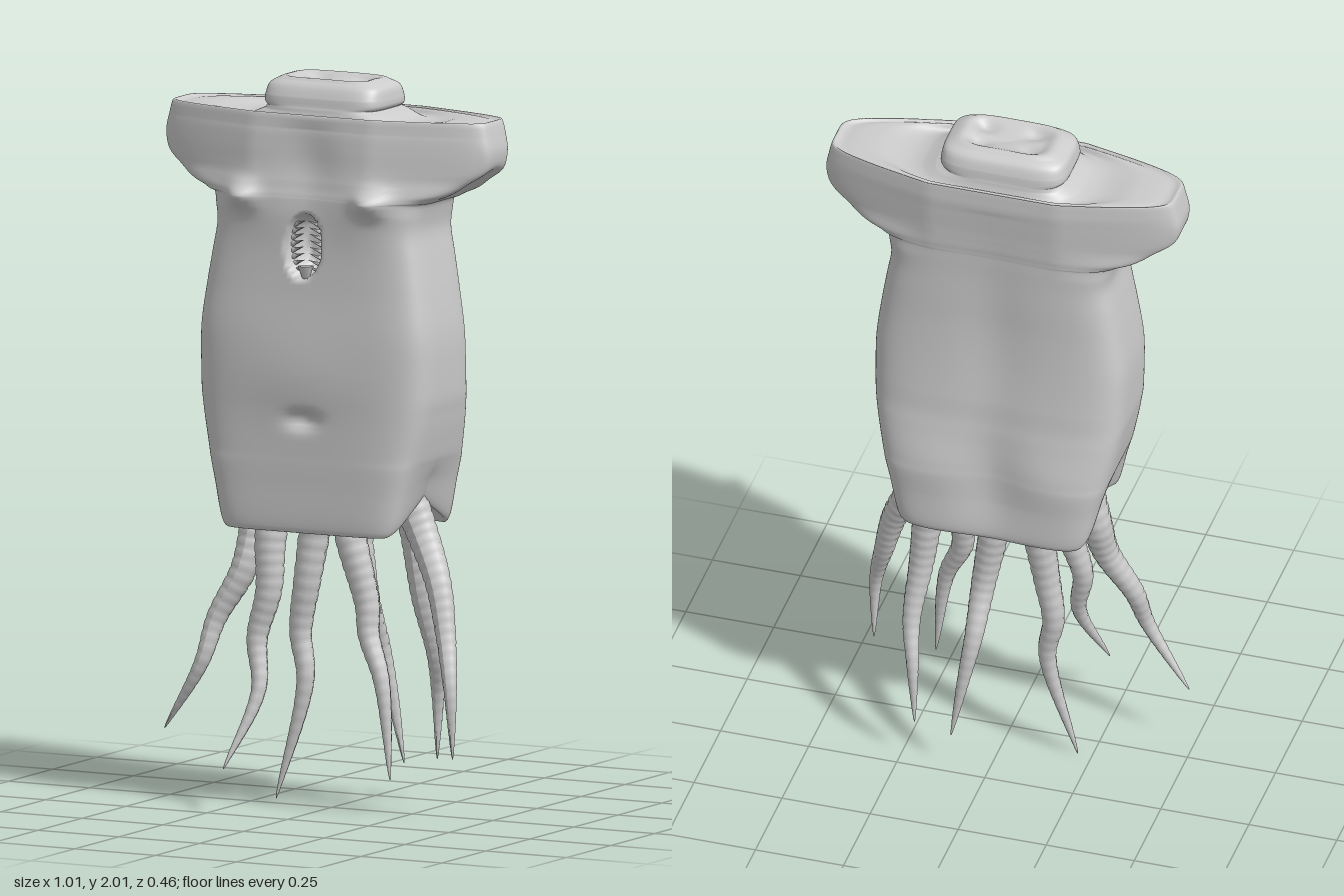
import * as THREE from 'three';

const grey = new THREE.MeshStandardMaterial({ color: 0xcccccc, roughness: 0.8 });
const { smoothstep, clamp } = THREE.MathUtils;
const bump = (dx, dy, rx, ry) => Math.exp(-((dx / rx) ** 2) - (dy / ry) ** 2);

// Torso cross-sections from below to top: y, half width, front z, back z, squareness
const rings = [
  [0.84, 0, -0.025, -0.025, 3], [0.83, 0.20, 0.11, -0.16, 5], [0.785, 0.255, 0.16, -0.205, 7],
  [0.775, 0.265, 0.165, -0.213, 7], [0.79, 0.275, 0.17, -0.22, 7], [0.90, 0.30, 0.17, -0.217, 7],
  [1.00, 0.325, 0.168, -0.212, 6], [1.10, 0.345, 0.165, -0.20, 5.5], [1.20, 0.355, 0.165, -0.19, 5],
  [1.32, 0.355, 0.162, -0.18, 5], [1.44, 0.34, 0.152, -0.175, 5], [1.53, 0.325, 0.146, -0.175, 5],
  [1.61, 0.312, 0.143, -0.175, 5], [1.66, 0.318, 0.142, -0.176, 5], [1.695, 0.35, 0.141, -0.177, 5.5],
  [1.735, 0.44, 0.137, -0.18, 6], [1.77, 0.488, 0.133, -0.182, 6], [1.83, 0.503, 0.128, -0.187, 6],
  [1.88, 0.495, 0.12, -0.19, 6], [1.91, 0.455, 0.105, -0.183, 5], [1.912, 0.37, 0.10, -0.172, 4.5],
  [1.902, 0.23, 0.096, -0.162, 4], [1.92, 0.187, 0.09, -0.155, 4], [1.955, 0.18, 0.083, -0.15, 4.5],
  [1.985, 0.172, 0.068, -0.137, 4.5], [2.0, 0.15, 0.05, -0.115, 4.5], [1.996, 0.09, 0.02, -0.08, 4],
  [1.985, 0, -0.03, -0.03, 3],
];

// Sculpted details laid over the plain loft
function sculpt(p) {
  const ax = Math.abs(p.x);
  if (p.y < 1.02) { // arched notch at each side of the hem
    const arch = clamp(1 - Math.abs(p.z + 0.025) / 0.17, 0, 1);
    p.y += 0.09 * arch * smoothstep(ax, 0.18, 0.25) * (1 - smoothstep(p.y, 0.78, 1.0));
  }
  // arm stumps taper towards their ends and are hollowed below
  const stump = smoothstep(p.y, 1.64, 1.76) * clamp((ax - 0.18) / 0.3, 0, 1);
  p.z = -0.033 + (p.z + 0.033) * (1 - 0.43 * stump);
  p.y += 0.03 * bump(p.z + 0.03, p.y - 1.73, 0.06, 0.05) * smoothstep(ax, 0.32, 0.42);
  if (p.z > 0.05 && p.y < 1.9) {
    p.z += 0.045 * bump(ax - 0.2, p.y - 1.69, 0.045, 0.035); // chest points
    p.z += 0.008 * bump(ax - 0.15, p.y - 1.67, 0.10, 0.08); // chest muscle
    p.z -= 0.016 * bump(p.x, p.y - 1.78, 0.08, 0.10); // hollow below the neck
    p.z += 0.01 * bump(p.x, p.y - 1.2, 0.18, 0.12); // belly
    p.z -= 0.028 * bump(p.x, p.y - 1.085, 0.045, 0.022); // navel
    const oval = Math.hypot((p.x + 0.008) / 0.055, (p.y - 1.56) / 0.095);
    p.z -= 0.085 * (1 - smoothstep(oval, 0.65, 1)); // chest opening
  }
  if (p.z < -0.1 && p.y < 1.85) {
    p.z += 0.012 * bump(p.x, p.y - 1.4, 0.09, 0.3); // spine groove
    p.z += 0.02 * bump(p.x, p.y - 0.95, 0.09, 0.17); // hollow between the lower lobes
    p.z -= 0.01 * bump(ax - 0.18, p.y - 0.98, 0.12, 0.10); // lower back lobes
  }
  if (p.y > 1.98) // dimples in the neck stump
    p.y -= 0.012 * bump(ax - 0.07, Math.abs(p.z + 0.03) - 0.035, 0.03, 0.02);
}

function makeTorso() {
  const shape = new THREE.CatmullRomCurve3(rings.map(r => new THREE.Vector3(r[0], r[1], r[4])));
  const depth = new THREE.CatmullRomCurve3(rings.map(r => new THREE.Vector3(r[2], r[3], r[0])));
  const rows = (rings.length - 1) * 7, cols = 176;
  const pos = [], index = [], p = new THREE.Vector3();
  for (let i = 0; i <= rows; i++) {
    const { x: y, y: w, z: n } = shape.getPoint(i / rows);
    const { x: front, y: back } = depth.getPoint(i / rows);
    for (let j = 0; j < cols; j++) {
      const a = (j / cols) * Math.PI * 2, c = Math.cos(a), s = Math.sin(a);
      const r = (Math.abs(c) ** n + Math.abs(s) ** n) ** (-1 / n);
      p.set(c * r * w - (y > 1.92 ? 0.008 : 0), y, (front + back) / 2 + s * r * (front - back) / 2);
      sculpt(p);
      pos.push(p.x, p.y, p.z);
      if (i < rows) {
        const k = i * cols + j, m = i * cols + (j + 1) % cols;
        index.push(k, k + cols, m, m, k + cols, m + cols);
      }
    }
  }
  const geo = new THREE.BufferGeometry();
  geo.setAttribute('position', new THREE.Float32BufferAttribute(pos, 3));
  geo.setIndex(index);
  geo.computeVertexNormals();
  return geo;
}

// Tapered, ringed tube: a TubeGeometry whose rings are rescaled along its length
function makeTentacle(points) {
  const curve = new THREE.CatmullRomCurve3(points.map(q => new THREE.Vector3(...q)));
  const steps = 96, sides = 12, geo = new THREE.TubeGeometry(curve, steps, 1, sides);
  const pos = geo.attributes.position, v = new THREE.Vector3();
  for (let i = 0; i <= steps; i++) {
    const u = i / steps, mid = curve.getPointAt(u);
    const r = (0.048 * (1 - u) ** 0.75 + 0.001) * (i % 4 === 0 ? 0.96 : 1.01);
    for (let j = 0; j <= sides; j++) {
      const k = i * (sides + 1) + j;
      v.fromBufferAttribute(pos, k).sub(mid).multiplyScalar(r).add(mid);
      pos.setXYZ(k, v.x, v.y, v.z);
    }
  }
  geo.computeVertexNormals();
  return geo;
}

const tentaclePaths = [
  [[-0.22, 0.87, -0.03], [-0.25, 0.76, -0.03], [-0.27, 0.64, 0.0], [-0.34, 0.5, 0.03], [-0.37, 0.38, 0.06], [-0.49, 0.19, 0.05]],
  [[-0.10, 0.87, -0.10], [-0.11, 0.76, -0.11], [-0.13, 0.6, -0.10], [-0.15, 0.46, -0.10], [-0.13, 0.33, -0.09], [-0.21, 0.0, -0.07]],
  [[-0.13, 0.86, 0.07], [-0.14, 0.74, 0.09], [-0.14, 0.6, 0.10], [-0.17, 0.47, 0.11], [-0.15, 0.33, 0.14], [-0.21, 0.12, 0.23]],
  [[0.00, 0.87, -0.12], [0.01, 0.76, -0.12], [0.04, 0.56, -0.13], [0.05, 0.42, -0.19], [0.07, 0.3, -0.21], [0.105, 0.1, -0.22]],
  [[0.08, 0.86, 0.06], [0.11, 0.76, 0.09], [0.16, 0.58, 0.09], [0.17, 0.5, 0.10], [0.22, 0.38, 0.12], [0.255, 0.11, 0.135]],
  [[0.18, 0.87, -0.10], [0.2, 0.76, -0.11], [0.22, 0.58, -0.12], [0.235, 0.42, -0.16], [0.22, 0.3, -0.2], [0.21, 0.12, -0.215]],
  [[0.22, 0.87, -0.03], [0.26, 0.78, -0.03], [0.33, 0.64, 0.0], [0.37, 0.5, 0.03], [0.405, 0.36, 0.07], [0.41, 0.17, 0.065]],
];

export function createModel() {
  const model = new THREE.Group();
  model.name = 'tentacledTorso';
  const add = (parent, name, geo) => {
    const mesh = new THREE.Mesh(geo, grey);
    mesh.name = name;
    parent.add(mesh);
    return mesh;
  };
  add(model, 'torso', makeTorso());

  const tentacles = new THREE.Group();
  tentacles.name = 'tentacles';
  tentaclePaths.forEach((path, i) => add(tentacles, `tentacle${i + 1}`, makeTentacle(path)));
  model.add(tentacles);

  // Rows of teeth lining the chest opening
  const teeth = new THREE.Group();
  teeth.name = 'chestTeeth';
  const tooth = new THREE.ConeGeometry(0.009, 0.05, 6);
  for (let i = 0; i < 8; i++) {
    const y = 1.495 + i * 0.018;
    const half = 0.042 * Math.sqrt(1 - ((y - 1.56) / 0.1) ** 2);
    for (const side of [-1, 1]) {
      const t = add(teeth, 'tooth', tooth);
      t.position.set(side * half * 0.75 - 0.008, y, 0.122);
      t.rotation.set(0.5, 0, side * 1.2);
    }
  }
  const spike = add(teeth, 'lowerSpike', new THREE.ConeGeometry(0.022, 0.06, 6));
  spike.position.set(-0.008, 1.475, 0.132);
  spike.rotation.x = Math.PI;
  model.add(teeth);
  return model;
}
